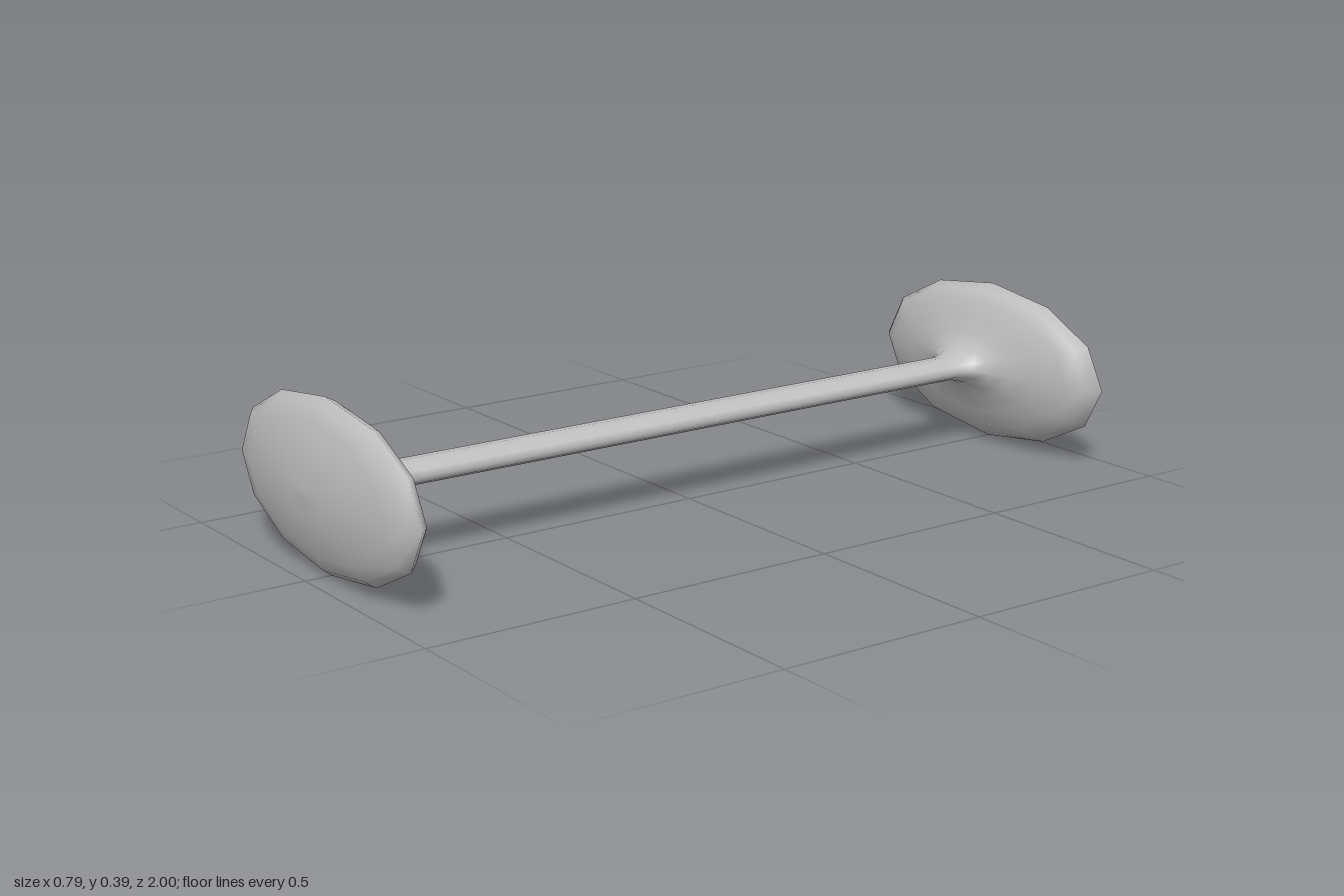
import * as THREE from 'three';

export function createModel() {
  const group = new THREE.Group();
  const grey = new THREE.MeshStandardMaterial({ color: 0xc0c0c0 });
  grey.name = 'light grey';

  // Twelve-sided turned part lying along z, flattened to half height
  const turned = (name, profile) => {
    const geometry = new THREE.LatheGeometry(profile.map(([r, z]) => new THREE.Vector2(r, z)), 12);
    geometry.rotateX(Math.PI / 2).scale(1, 0.5, 1).translate(0, 0.198, 0);
    const mesh = new THREE.Mesh(geometry, grey);
    mesh.name = name;
    group.add(mesh);
  };

  // Slim connecting bar
  turned('shaft', [[0.055, -0.74], [0.055, 0.74]]);

  // Flared end disc as radius and distance along the shaft
  const disc = [
    [0.055, 0.74], [0.055, 0.78], [0.075, 0.817], [0.105, 0.838], [0.16, 0.856],
    [0.24, 0.873], [0.32, 0.891], [0.365, 0.911], [0.393, 0.937],
    [0.362, 0.957], [0.3, 0.972], [0.2, 0.988], [0.1, 0.997], [0, 1],
  ];
  turned('frontDisc', disc);
  turned('backDisc', disc.map(([r, z]) => [r, -z]).reverse());

  return group;
}
